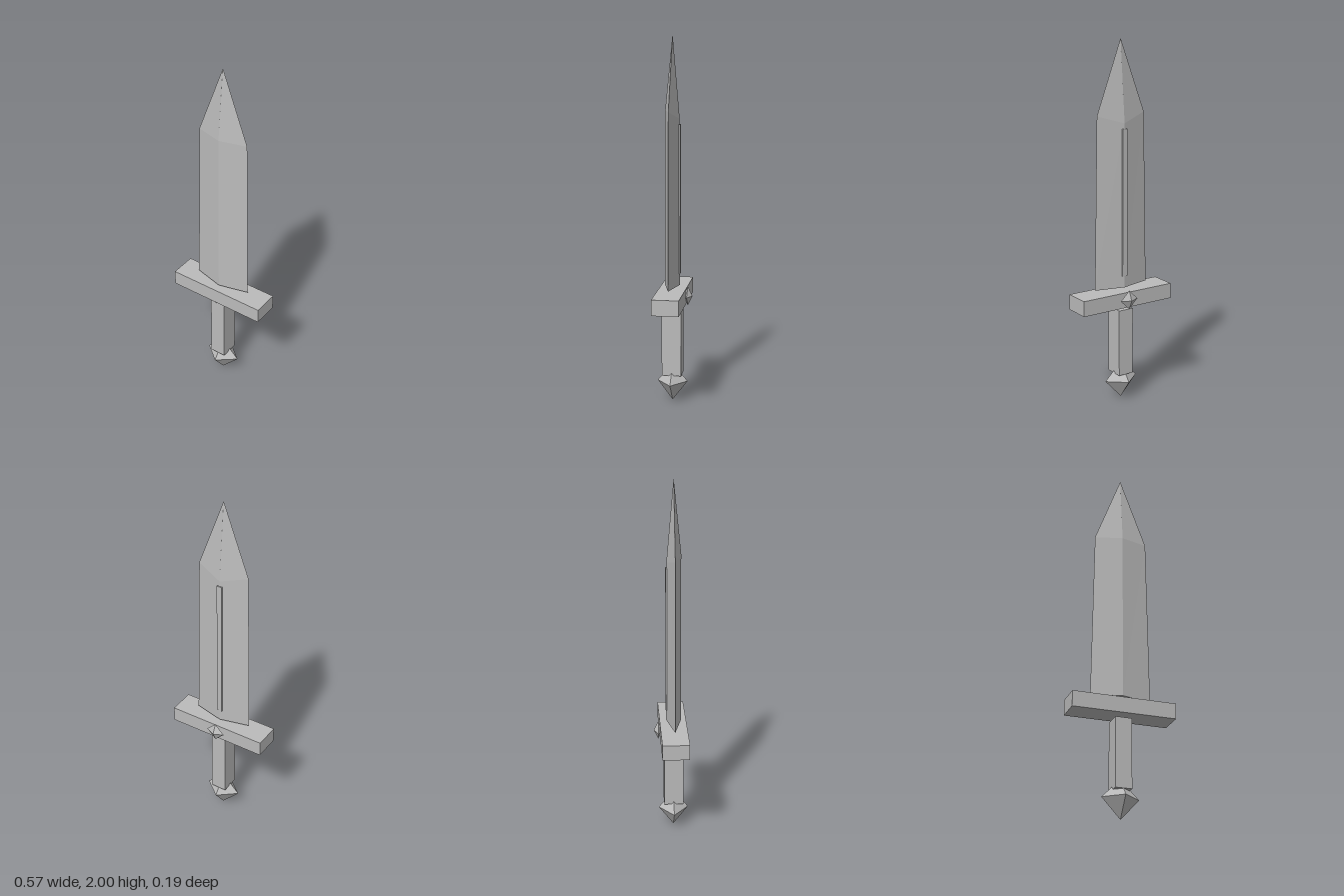
import * as THREE from 'three';

// Solid through four-cornered rings; each ring lists [x, y, z] corners
// anticlockwise as seen from the end of the stack.
function loft(rings) {
  const pos = [];
  const tri = (a, b, c) => pos.push(...a, ...b, ...c);
  for (let r = 0; r < rings.length - 1; r++) {
    const a = rings[r], b = rings[r + 1];
    for (let i = 0; i < 4; i++) {
      const j = (i + 1) % 4;
      tri(a[i], a[j], b[j]);
      tri(a[i], b[j], b[i]);
    }
  }
  const first = rings[0], last = rings[rings.length - 1];
  tri(first[0], first[2], first[1]);
  tri(first[0], first[3], first[2]);
  tri(last[0], last[1], last[2]);
  tri(last[0], last[2], last[3]);
  const geo = new THREE.BufferGeometry();
  geo.setAttribute('position', new THREE.Float32BufferAttribute(pos, 3));
  geo.computeVertexNormals();
  return geo;
}

// Four-sided double pyramid along y, corners on the x and z axes
function doublePyramid(rx, rz, low, high) {
  const ring = (s, y) => [[rx * s, y, 0], [0, y, -rz * s], [-rx * s, y, 0], [0, y, rz * s]];
  return loft([ring(0.001, -low), ring(1, 0), ring(0.001, high)]);
}

export function createModel() {
  const steel = new THREE.MeshStandardMaterial({ color: 0xbbbbbb });
  steel.name = 'grey steel';
  const model = new THREE.Group();
  model.name = 'dagger';
  const Z = 0.012; // centre plane of blade and handle

  const add = (name, geo, x, y, z) => {
    const mesh = new THREE.Mesh(geo, steel);
    mesh.name = name;
    mesh.position.set(x, y, z);
    model.add(mesh);
    return mesh;
  };
  const box = (name, [x0, x1], [y0, y1], [z0, z1]) =>
    add(name, new THREE.BoxGeometry(x1 - x0, y1 - y0, z1 - z0),
      (x0 + x1) / 2, (y0 + y1) / 2, (z0 + z1) / 2);

  // Blade: diamond section, slight taper, then the point
  const section = (w, front, back, y, yBack = y) =>
    [[w, y, 0], [0, yBack, -back], [-w, y, 0], [0, y, front]];
  add('blade', loft([
    section(0.167, 0.042, 0.04, 0.655),
    section(0.149, 0.04, 0.038, 1.605, 1.56),
    section(0.0005, 0.0005, 0.0005, 2),
  ]), 0, 0, Z);

  // Raised rib along the back of the blade
  box('bladeRib', [-0.015, 0.015], [0.72, 1.53], [-0.031, 0]);

  // Cross guard and grip
  box('guard', [-0.285, 0.285], [0.55, 0.636], [-0.063, 0.084]);
  box('grip', [-0.045, 0.045], [0.15, 0.53], [-0.041, 0.066]);

  // Gem set in the back of the guard
  const gem = add('guardGem', doublePyramid(0.054, 0.053, 0.025, 0.023), 0, 0.595, -0.072);
  gem.rotation.x = Math.PI / 2;

  // Faceted pommel
  add('pommel', doublePyramid(0.102, 0.083, 0.11, 0.1), 0, 0.11, Z);

  return model;
}
